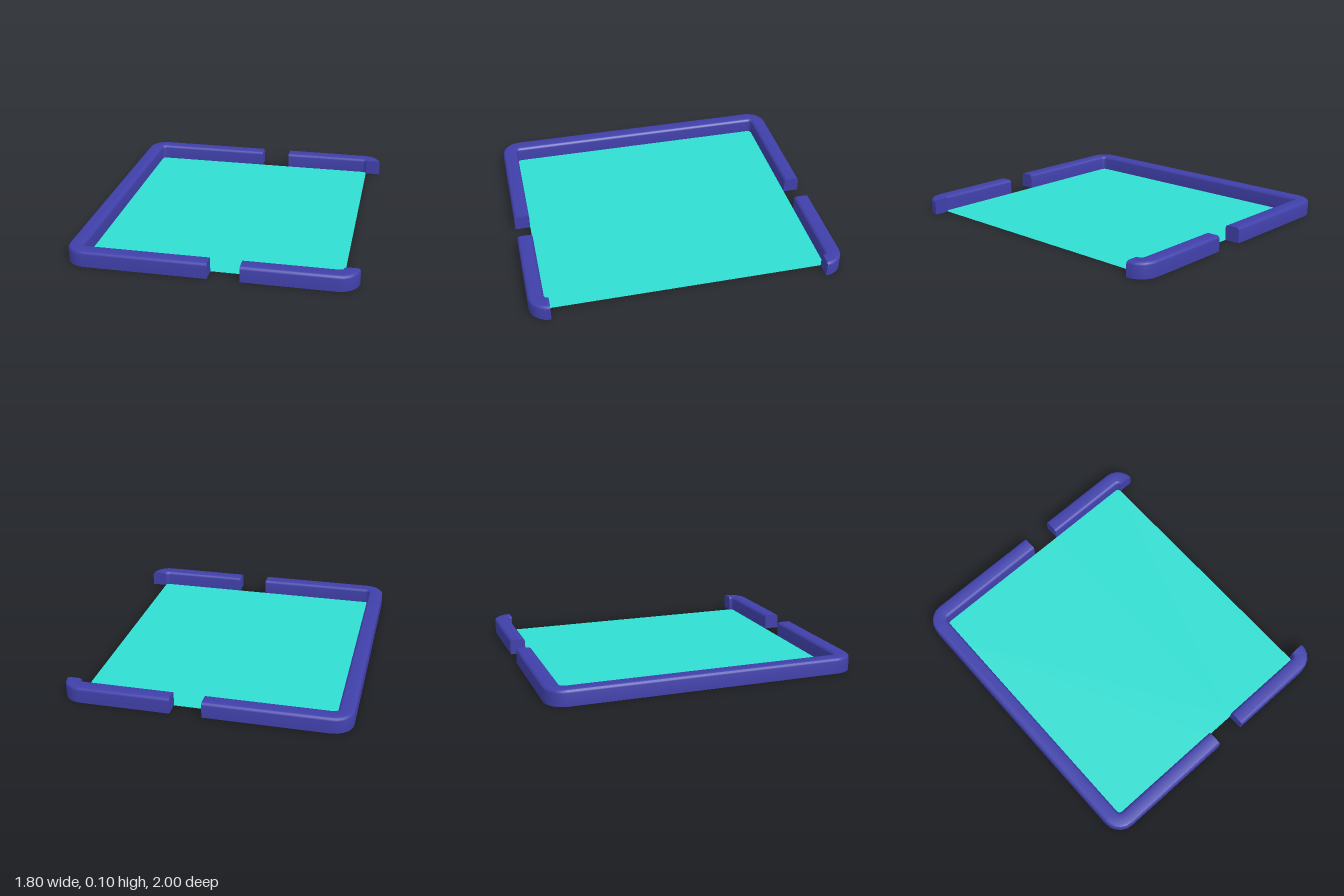
import * as THREE from 'three';
import { toCreasedNormals } from 'three/addons/utils/BufferGeometryUtils.js';

const HALF = 0.05, HEIGHT = 0.1, ROUND = 0.018; // rail cross-section
const CX = 0.775, CZ = 0.875, RADIUS = 0.075; // corner centres and centreline radius

// Path points hold a position and the outward direction
const station = (x, z, angle) => ({ x, z, nx: Math.cos(angle), nz: Math.sin(angle) });
const offset = (s, o) => [s.x + s.nx * o, s.z + s.nz * o];

// Quarter turn of the centreline around one corner
function corner(sx, sz, startAngle, steps = 5) {
  return Array.from({ length: steps + 1 }, (_, i) => {
    const a = startAngle + (i / steps) * Math.PI / 2;
    return station(sx * CX + RADIUS * Math.cos(a), sz * CZ + RADIUS * Math.sin(a), a);
  });
}

// Rail section, open at the bottom: [offset, height], with rounded top edges
function railProfile(steps = 3) {
  const points = [[HALF, 0]];
  for (const side of [1, -1]) {
    for (let i = 0; i <= steps; i++) {
      const a = (i / steps + (side > 0 ? 0 : 1)) * Math.PI / 2;
      points.push([side * (HALF - ROUND) + ROUND * Math.cos(a), HEIGHT - ROUND + ROUND * Math.sin(a)]);
    }
  }
  points.push([-HALF, 0]);
  return points;
}

// Sweep the section along a path and cap both ends
function sweep(path, profile) {
  const positions = [], index = [], n = profile.length;
  for (const s of path) {
    for (const [o, y] of profile) {
      const [x, z] = offset(s, o);
      positions.push(x, y, z);
    }
  }
  for (let i = 0; i < path.length - 1; i++) {
    for (let j = 0; j < n - 1; j++) {
      const a = i * n + j, b = a + 1, c = a + n, d = c + 1;
      index.push(a, b, c, b, d, c);
    }
  }
  const end = (path.length - 1) * n;
  for (let j = 1; j < n - 1; j++) {
    index.push(0, j + 1, j, end, end + j, end + j + 1);
  }
  const geometry = new THREE.BufferGeometry();
  geometry.setAttribute('position', new THREE.Float32BufferAttribute(positions, 3));
  geometry.setIndex(index);
  return toCreasedNormals(geometry, 0.7);
}

export function createModel() {
  const group = new THREE.Group();
  const railMaterial = new THREE.MeshStandardMaterial({ color: 0x4040aa });
  const floorMaterial = new THREE.MeshStandardMaterial({ color: 0x30ded2, side: THREE.DoubleSide });

  const Q = Math.PI / 2, zRail = CZ + RADIUS;
  const rails = {
    frontHookRail: [...corner(1, 1, 0), station(0.2, zRail, Q)],
    sideRail: [station(0, zRail, Q), ...corner(-1, 1, Q), ...corner(-1, -1, 2 * Q), station(0, -zRail, 3 * Q)],
    backHookRail: [station(0.2, -zRail, 3 * Q), ...corner(1, -1, 3 * Q)],
  };

  // Raised rails; the floor outline follows their outer edges and steps in at the gaps
  const profile = railProfile();
  const outline = [];
  for (const [name, path] of Object.entries(rails)) {
    const rail = new THREE.Mesh(sweep(path, profile), railMaterial);
    rail.name = name;
    group.add(rail);
    outline.push(offset(path[0], -HALF), ...path.map(s => offset(s, HALF)), offset(path[path.length - 1], -HALF));
  }

  // Thin floor sheet
  const shape = new THREE.Shape(outline.map(([x, z]) => new THREE.Vector2(x, z)));
  const floor = new THREE.Mesh(new THREE.ShapeGeometry(shape).rotateX(Math.PI / 2), floorMaterial);
  floor.name = 'floor';
  group.add(floor);

  return group;
}
